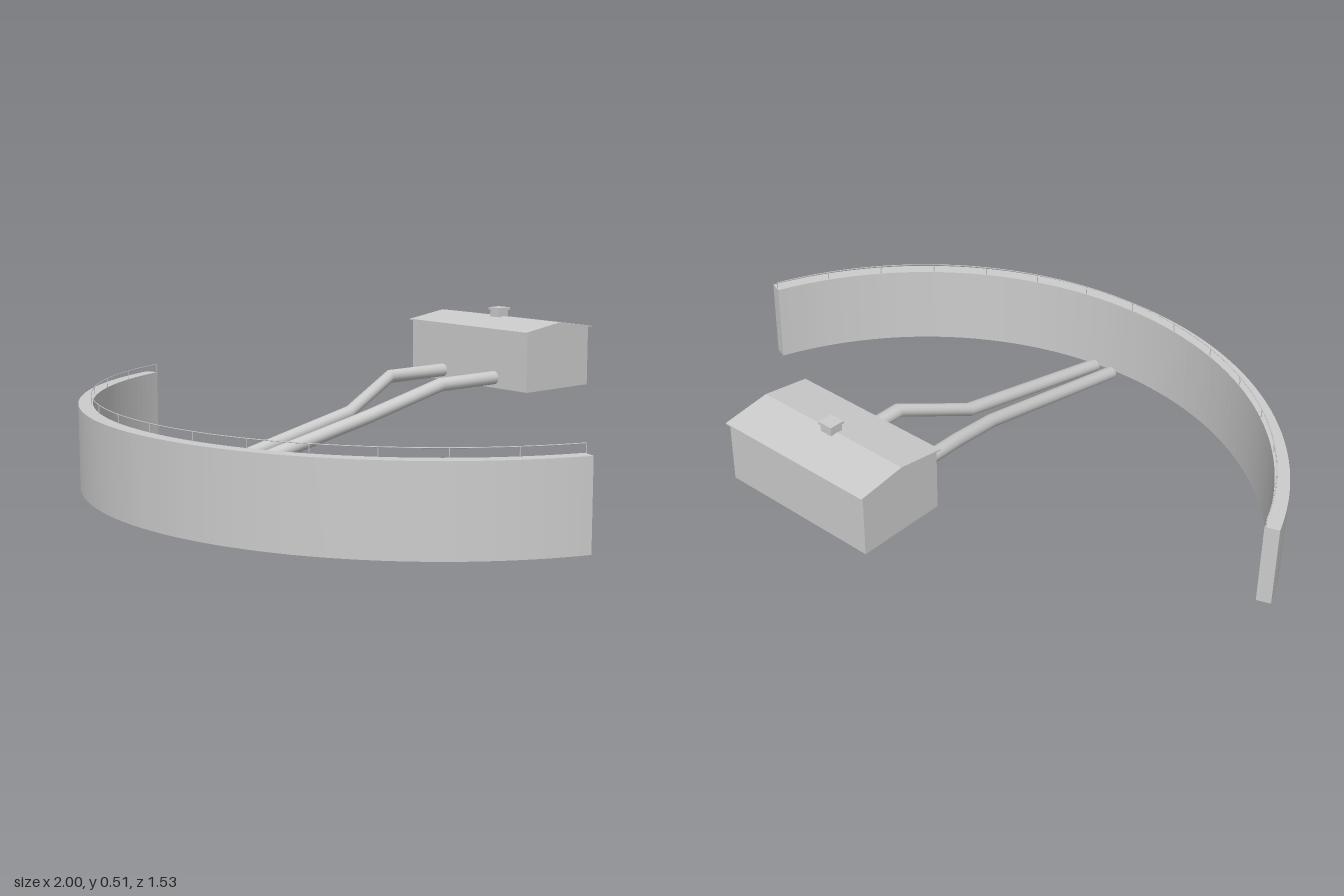
import * as THREE from 'three';

const grey = new THREE.MeshStandardMaterial({ color: 0xcccccc });
const sheet = new THREE.MeshStandardMaterial({ color: 0xcccccc, side: THREE.DoubleSide });
const HALF_PI = Math.PI / 2;

function add(parent, name, geometry, material = grey) {
  const mesh = new THREE.Mesh(geometry, material);
  mesh.name = name;
  parent.add(mesh);
  return mesh;
}

function addBox(parent, name, w, h, d, x, y, z) {
  add(parent, name, new THREE.BoxGeometry(w, h, d)).position.set(x, y, z);
}

// Closed polygon from [x, y] pairs
const polygon = (points) => new THREE.Shape(points.map(([x, y]) => new THREE.Vector2(x, y)));

// Arched wall: outer radius, inner radius and centre of the arc
const R_OUT = 1.064, R_IN = 1.021, CENTRE_Z = -0.299, WALL_TOP = 0.256;
const START = THREE.MathUtils.degToRad(20), SWEEP = THREE.MathUtils.degToRad(140);

function createDam() {
  const dam = new THREE.Group();
  dam.name = 'dam';
  dam.position.z = CENTRE_Z;

  const plan = new THREE.Shape();
  plan.absarc(0, 0, R_OUT, START, START + SWEEP, false);
  plan.absarc(0, 0, R_IN, START + SWEEP, START, true);
  const wall = new THREE.ExtrudeGeometry(plan, { depth: WALL_TOP, bevelEnabled: false, curveSegments: 40 });
  wall.rotateX(HALF_PI).translate(0, WALL_TOP, 0);
  add(dam, 'damWall', wall);

  // Thin handrail along the inner edge, with a post every ten degrees
  const railR = 1.025, railY = 0.282;
  const rail = new THREE.TorusGeometry(railR, 0.0015, 6, 56, SWEEP);
  rail.rotateZ(START).rotateX(HALF_PI).translate(0, railY, 0);
  add(dam, 'handrail', rail);
  const post = new THREE.CylinderGeometry(0.0015, 0.0015, railY - WALL_TOP, 6);
  for (let i = 0; i <= 14; i++) {
    const a = START + (SWEEP * i) / 14;
    add(dam, 'railPost', post).position.set(
      railR * Math.cos(a), (railY + WALL_TOP) / 2, railR * Math.sin(a));
  }
  return dam;
}

// Bent water pipe: the rings of a cylinder are moved onto the path points
function createPipe(side) {
  const path = [[0.034, 0.1, 0.58], [0.045, 0.223, -0.02], [0.115, 0.305, -0.25], [0.115, 0.305, -0.482]];
  const g = new THREE.CylinderGeometry(0.021, 0.021, 1, 16, path.length - 1);
  g.rotateX(HALF_PI);
  const p = g.attributes.position;
  for (let i = 0; i < p.count; i++) {
    const [x, y, z] = path[Math.round((0.5 - p.getZ(i)) * (path.length - 1))];
    p.setXYZ(i, p.getX(i) + side * x, p.getY(i) + y, z);
  }
  g.computeVertexNormals();
  return g;
}

function createPowerhouse() {
  const house = new THREE.Group();
  house.name = 'powerhouse';
  house.position.z = -0.618;
  const halfW = 0.255, halfD = 0.138, base = 0.273, eave = 0.457, ridge = 0.476;

  // Open-bottomed walls: two gable ends and two long sides
  const gable = new THREE.ShapeGeometry(polygon(
    [[-halfD, base], [halfD, base], [halfD, eave], [0, ridge], [-halfD, eave]]));
  const longWall = new THREE.PlaneGeometry(2 * halfW, eave - base);
  for (const s of [1, -1]) {
    const end = add(house, 'gableWall', gable, sheet);
    end.rotation.y = s * HALF_PI;
    end.position.x = s * halfW;
    const long = add(house, s > 0 ? 'frontWall' : 'backWall', longWall, sheet);
    long.rotation.y = s > 0 ? 0 : Math.PI;
    long.position.set(0, (base + eave) / 2, s * halfD);
  }

  // Thin pitched roof with a small overhang
  const roof = new THREE.ExtrudeGeometry(polygon(
    [[-0.148, 0.455], [0, ridge], [0.148, 0.455], [0.148, 0.459], [0, 0.48], [-0.148, 0.459]]),
  { depth: 0.52, bevelEnabled: false });
  roof.translate(0, 0, -0.26).rotateY(HALF_PI);
  add(house, 'roof', roof);

  // Vent with a slightly wider cap
  addBox(house, 'vent', 0.04, 0.03, 0.04, 0, 0.485, 0);
  addBox(house, 'ventCap', 0.048, 0.008, 0.048, 0, 0.503, 0);
  return house;
}

export function createModel() {
  const model = new THREE.Group();
  model.name = 'damAndPowerhouse';
  model.add(createDam(), createPowerhouse());
  add(model, 'leftPipe', createPipe(1));
  add(model, 'rightPipe', createPipe(-1));
  return model;
}
